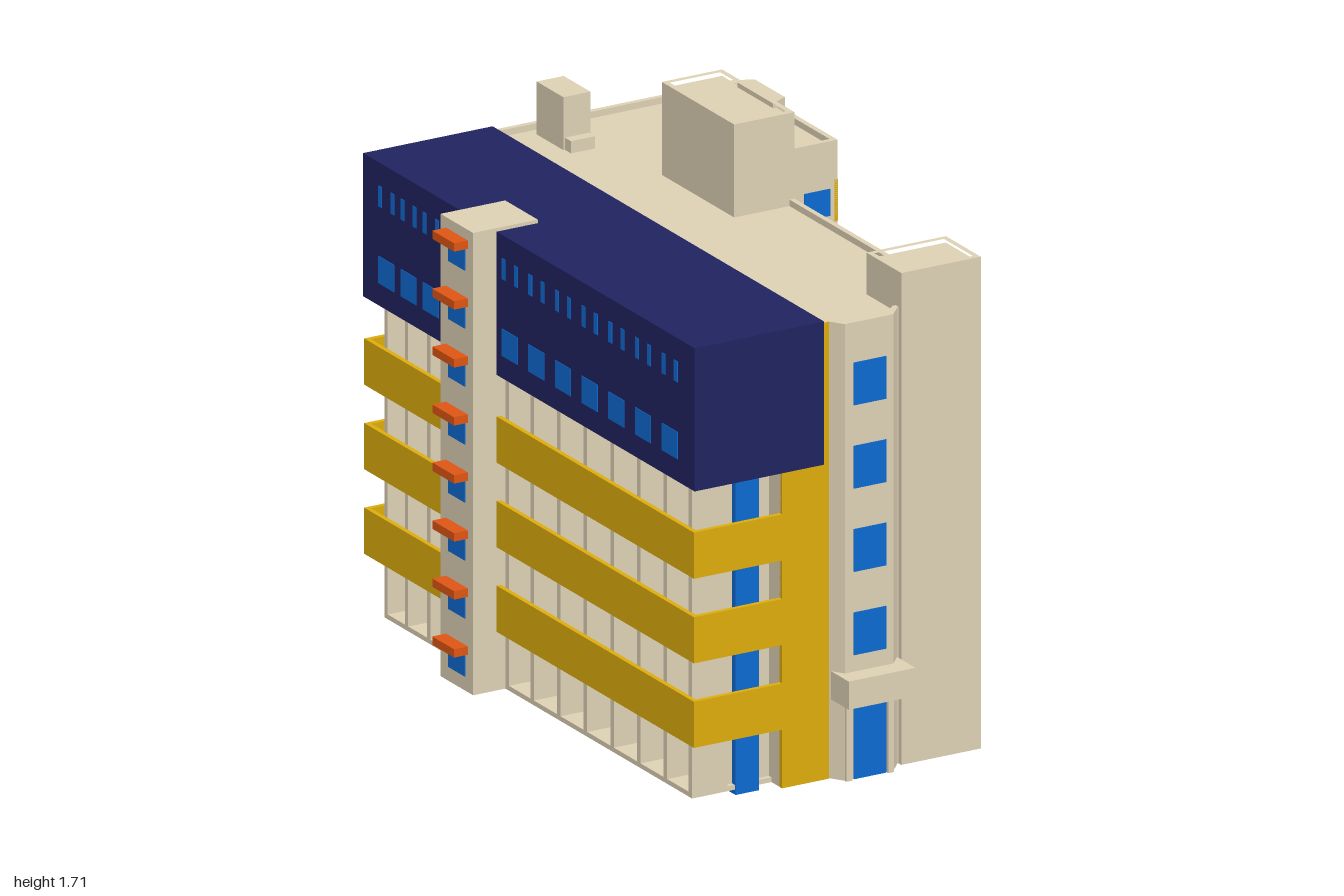
import * as THREE from 'three';

const mat = (color) => new THREE.MeshStandardMaterial({ color });
const BEIGE = mat(0xdccfb3), BLUE = mat(0x0d69cf), YELLOW = mat(0xdcab0c);
const NAVY = mat(0x20235f), ORANGE = mat(0xdd5514);

const GROUND = 0.015, ROOF = 1.42, PARAPET = 1.44;

export function createModel() {
  const root = new THREE.Group();
  root.name = 'apartmentBlock';

  const section = (name) => {
    const g = new THREE.Group();
    g.name = name;
    root.add(g);
    return g;
  };
  const add = (parent, name, geo, material) => {
    const m = new THREE.Mesh(geo, material);
    m.name = name;
    parent.add(m);
    return m;
  };
  // Box given by its limits on each axis
  const box = (parent, name, material, x0, x1, y0, y1, z0, z1) =>
    add(parent, name, new THREE.BoxGeometry(x1 - x0, y1 - y0, z1 - z0), material)
      .position.set((x0 + x1) / 2, (y0 + y1) / 2, (z0 + z1) / 2);

  // Vertical prism from a plan of [x, z] corners, with an optional hole
  const toPath = (plan) => plan.map(([x, z]) => new THREE.Vector2(x, -z));
  const prism = (parent, name, material, plan, y0, y1, hole) => {
    const shape = new THREE.Shape(toPath(plan));
    if (hole) shape.holes.push(new THREE.Path(toPath(hole)));
    const geo = new THREE.ExtrudeGeometry(shape, { depth: y1 - y0, bevelEnabled: false });
    geo.rotateX(-Math.PI / 2).translate(0, y0, 0);
    add(parent, name, geo, material);
  };
  // Plan moved inward by d with mitred corners
  const inset = (plan, d) => {
    const pts = plan.map(([x, z]) => new THREE.Vector2(x, z));
    const s = THREE.ShapeUtils.area(pts) > 0 ? d : -d;
    return pts.map((p, i) => {
      const n = pts.length;
      const a = p.clone().sub(pts[(i + n - 1) % n]).normalize();
      const b = pts[(i + 1) % n].clone().sub(p).normalize();
      const na = new THREE.Vector2(-a.y, a.x), nb = new THREE.Vector2(-b.y, b.x);
      const m = na.clone().add(nb).multiplyScalar(s / (1 + na.dot(nb)));
      return [p.x + m.x, p.y + m.y];
    });
  };
  // Block whose flat roof lies below a thin parapet
  const block = (parent, name, plan, y0, y1, lip = 0.02) => {
    prism(parent, name, BEIGE, plan, y0, y1 - lip);
    prism(parent, name + 'Parapet', BEIGE, plan, y1 - lip, y1, inset(plan, 0.017));
  };
  const rect = (x0, x1, z0, z1) => [[x0, z0], [x1, z0], [x1, z1], [x0, z1]];

  // Main body with the front bay, rear wing and notch
  const body = section('mainBody');
  block(body, 'walls', [
    [-0.27, 0.89], [-0.11, 0.89], [-0.08, 0.935], [0.085, 0.935], [0.125, 0.89],
    [0.33, 0.89], [0.33, -0.625], [0.43, -0.625], [0.43, -0.405], [0.69, -0.405],
    [0.69, -0.99], [-0.27, -0.99]], GROUND, PARAPET);
  box(body, 'yellowFrontWall', YELLOW, -0.27, -0.11, GROUND, PARAPET, 0.88, 0.896);

  // Front corner block with two tall glazed strips
  const corner = section('frontCornerBlock');
  block(corner, 'cornerWalls', rect(0.13, 0.4, 0.705, 0.905), GROUND, 1.55);
  for (const z of [0.75, 0.86])
    box(corner, 'glazedStrip', BLUE, 0.39, 0.403, GROUND, 1.405, z - 0.016, z + 0.016);

  // Front entrance bay
  const entrance = section('frontEntrance');
  for (let i = 0; i < 4; i++)
    box(entrance, 'bayWindow', BLUE, -0.05, 0.06, 0.402 + i * 0.26, 0.535 + i * 0.26, 0.92, 0.938);
  box(entrance, 'frontDoor', BLUE, -0.05, 0.06, GROUND, 0.265, 0.92, 0.938);
  box(entrance, 'frontCanopy', BEIGE, -0.105, 0.122, 0.262, 0.35, 0.88, 1);
  for (const x of [-0.08, 0.062])
    box(entrance, 'canopyBracket', BEIGE, x, x + 0.02, GROUND, 0.262, 0.9, 0.945);

  // Right facade: yellow panel and window grid
  const right = section('rightFacade');
  box(right, 'yellowPanel', YELLOW, 0.32, 0.333, GROUND, 1.055, -0.045, 0.71);
  const wing = section('rearWingFacade');
  for (let i = 0; i < 10; i++) {
    const y = 0.08 + i * 0.13;
    for (let j = 0; j < 4; j++) {
      const z = 0.048 + j * 0.189;
      box(right, 'window', BLUE, 0.32, 0.336, y - 0.04, y + 0.04, z - 0.069, z + 0.069);
    }
    for (const x of [0.488, 0.62])
      box(wing, 'wingWindow', BLUE, x - 0.044, x + 0.044, y - 0.042, y + 0.042, -0.42, -0.402);
  }
  // Yellow bands on the end of the rear wing
  for (let i = 0; i < 4; i++) {
    const y = 0.472 + i * 0.26;
    box(wing, 'yellowBand', YELLOW, 0.68, 0.692, y - 0.065, y + 0.065, -0.99, -0.405);
    box(wing, 'bandWindow', BLUE, 0.68, 0.695, y - 0.041, y + 0.041, -0.782, -0.64);
  }

  // Lift tower with glazed shaft and side entrance
  const lift = section('liftTower');
  block(lift, 'towerTop', rect(0.125, 0.33, -0.46, -0.045), ROOF - 0.02, 1.71);
  prism(lift, 'towerProjection', BEIGE,
    [[0.32, -0.15], [0.335, -0.15], [0.37, -0.168], [0.37, -0.338], [0.335, -0.356], [0.32, -0.356]], 1.31, 1.71);
  box(lift, 'glazedShaft', BLUE, 0.32, 0.36, GROUND, 1.31, -0.327, -0.177);
  box(lift, 'sideCanopy', BEIGE, 0.32, 0.475, 0.2, 0.27, -0.355, -0.15);
  for (const z of [-0.352, -0.173])
    prism(lift, 'sideCanopyPost', BEIGE, rect(0.32, 0.4, z, z + 0.02), GROUND, 0.2);

  // Roof hut
  const hut = section('roofHut');
  box(hut, 'hut', BEIGE, -0.017, 0.075, ROOF - 0.01, 1.585, -0.938, -0.785);
  box(hut, 'hutStep', BEIGE, -0.012, 0.07, ROOF - 0.01, 1.458, -0.785, -0.75);

  // Recessed left side behind the balconies
  const left = section('leftSide');
  box(left, 'recessedWall', BEIGE, -0.43, -0.26, GROUND, 1.01, -0.91, 0.82);
  box(left, 'leftBase', BEIGE, -0.54, -0.26, GROUND, 0.03, -0.93, 0.835);
  box(left, 'frontGlazing', BLUE, -0.395, -0.315, 0, 1.0, 0.775, 0.84);
  box(left, 'backGlazing', BLUE, -0.395, -0.315, 0.2, 1.0, -0.93, -0.87);

  const navy = section('upperStoreys');
  box(navy, 'navyBox', NAVY, -0.57, -0.13, 1.0, 1.447, -1, 0.9);

  // Bays on each side of the stair tower: fins, glazing, upper windows, balconies
  const runs = [[-0.93, -0.42, 4, -0.995], [-0.235, 0.835, 7, 0.896]];
  for (const [z0, z1, count, end] of runs) {
    const step = (z1 - z0) / count;
    for (let i = 0; i <= count; i++) {
      const z = THREE.MathUtils.clamp(z0 + i * step, z0 + 0.01, z1 - 0.01);
      box(left, 'fin', BEIGE, -0.54, -0.42, GROUND, 1.0, z - 0.01, z + 0.01);
      if (i === count) continue;
      const c = z0 + (i + 0.5) * step;
      for (let f = 0; f < 3; f++)
        box(left, 'balconyWindow', BLUE, -0.44, -0.434, 0.25 + f * 0.264, 0.45 + f * 0.264, c - 0.05, c + 0.05);
      box(navy, 'navyWindow', BLUE, -0.572, -0.56, 1.07, 1.155, c - 0.045, c + 0.045);
      for (const d of [-0.035, 0.035])
        box(navy, 'slitWindow', BLUE, -0.572, -0.56, 1.31, 1.375, c + d - 0.01, c + d + 0.01);
    }
    const lo = Math.min(end, z0 < -0.5 ? -0.42 : -0.235);
    const hi = Math.max(end, z0 < -0.5 ? -0.42 : -0.235);
    const wallZ = end < 0 ? [end, end + 0.015] : [end - 0.015, end];
    for (let f = 0; f < 3; f++) {
      const y0 = 0.198 + f * 0.264, y1 = y0 + 0.144;
      box(left, 'balconyRail', YELLOW, -0.57, -0.555, y0, y1, lo, hi);
      box(left, 'balconyEndRail', YELLOW, -0.57, -0.27, y0, y1, ...wallZ);
      box(left, 'balconyFloor', YELLOW, -0.556, -0.27, y0 + 0.001, y0 + 0.02, lo + 0.001, hi - 0.001);
    }
  }

  // Stair tower with a small orange awning over each window
  const stair = section('stairTower');
  box(stair, 'stairWalls', BEIGE, -0.65, -0.43, GROUND, 1.458, -0.422, -0.235);
  for (let i = 0; i < 8; i++) {
    const y = 0.145 + i * 0.181;
    box(stair, 'awning', ORANGE, -0.697, -0.64, y - 0.013, y + 0.013, -0.39, -0.265);
    box(stair, 'stairWindow', BLUE, -0.653, -0.64, y - 0.085, y - 0.02, -0.375, -0.28);
  }
  return root;
}
